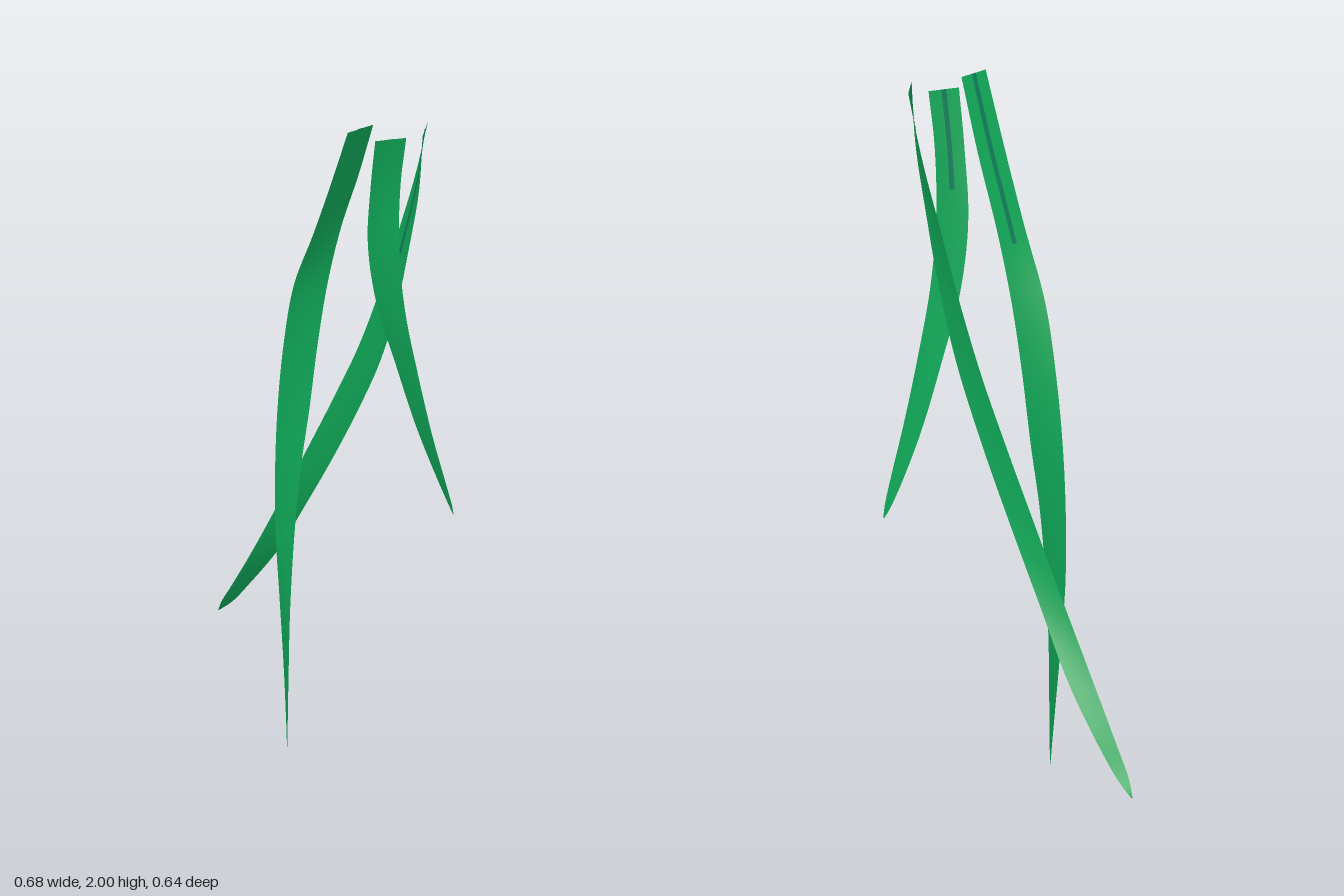
import * as THREE from 'three';

const leafGreen = new THREE.MeshStandardMaterial({ color: 0x0fa556, side: THREE.DoubleSide });
leafGreen.name = 'leaf green';
const ribTeal = new THREE.MeshStandardMaterial({ color: 0x0e7a58, side: THREE.DoubleSide });
ribTeal.name = 'rib teal';

// Cross-sections from the cut end to the tip: [y, leftX, leftZ, rightX, rightZ]
const BLADES = {
  tallBlade: [
    [2.0, 0.063, 0.318, 0.128, 0.268], [1.8, 0.012, 0.252, 0.082, 0.2],
    [1.6, -0.042, 0.184, 0.03, 0.138], [1.4, -0.1, 0.115, -0.01, 0.102],
    [1.2, -0.13, 0.072, -0.038, 0.088], [1.0, -0.148, 0.05, -0.06, 0.085],
    [0.8, -0.156, 0.045, -0.085, 0.09], [0.6, -0.155, 0.05, -0.1, 0.107],
    [0.4, -0.142, 0.073, -0.108, 0.137], [0.2, -0.127, 0.113, -0.11, 0.167],
    [0.06, -0.117, 0.157, -0.111, 0.183], [0.0, -0.113, 0.18, -0.112, 0.183],
  ],
  shortBlade: [
    [1.96, 0.135, 0.288, 0.217, 0.263], [1.8, 0.12, 0.255, 0.2, 0.246],
    [1.6, 0.109, 0.217, 0.196, 0.24], [1.4, 0.13, 0.19, 0.211, 0.228],
    [1.2, 0.18, 0.169, 0.244, 0.215], [1.0, 0.235, 0.157, 0.283, 0.204],
    [0.85, 0.287, 0.153, 0.317, 0.19], [0.77, 0.319, 0.157, 0.334, 0.178],
    [0.735, 0.336, 0.165, 0.338, 0.17],
  ],
  leaningBlade: [
    [1.98, 0.271, 0.203, 0.263, 0.285], [1.8, 0.235, 0.184, 0.252, 0.265],
    [1.6, 0.185, 0.16, 0.222, 0.235], [1.4, 0.133, 0.128, 0.187, 0.2],
    [1.2, 0.073, 0.083, 0.139, 0.148], [1.0, 0.0, 0.022, 0.072, 0.077],
    [0.8, -0.077, -0.042, -0.004, 0.0], [0.6, -0.155, -0.108, -0.085, -0.087],
    [0.4, -0.235, -0.178, -0.168, -0.182], [0.25, -0.297, -0.245, -0.25, -0.257],
    [0.17, -0.33, -0.288, -0.3, -0.294], [0.128, -0.34, -0.316, -0.337, -0.319],
  ],
};

// Ribbon between two edge curves; u0..u1 across, down to t1 along, lifted off the upper side
function ribbon(left, right, u0, u1, t1, rows, lift) {
  const cols = 4;
  const geo = new THREE.PlaneGeometry(1, 1, cols, rows);
  const pos = geo.attributes.position;
  const p = new THREE.Vector3();
  for (let r = 0; r <= rows; r++) {
    const t = (r / rows) * t1;
    const a = left.getPoint(t), b = right.getPoint(t);
    const normal = b.clone().sub(a).cross(left.getTangent(t)).normalize();
    if (normal.y < 0) normal.negate();
    for (let c = 0; c <= cols; c++) {
      p.lerpVectors(a, b, u0 + (u1 - u0) * (c / cols)).addScaledVector(normal, lift);
      pos.setXYZ(r * (cols + 1) + c, p.x, p.y, p.z);
    }
  }
  geo.computeVertexNormals();
  return geo;
}

function addMesh(parent, name, geo, material) {
  const mesh = new THREE.Mesh(geo, material);
  mesh.name = name;
  parent.add(mesh);
}

export function createModel() {
  const model = new THREE.Group();
  model.name = 'grassBlades';
  for (const [name, sections] of Object.entries(BLADES)) {
    const blade = new THREE.Group();
    blade.name = name;
    const left = new THREE.CatmullRomCurve3(sections.map((s) => new THREE.Vector3(s[1], s[0], s[2])));
    const right = new THREE.CatmullRomCurve3(sections.map((s) => new THREE.Vector3(s[3], s[0], s[4])));
    addMesh(blade, name + 'Leaf', ribbon(left, right, 0, 1, 1, 66, 0), leafGreen);
    // Faint darker rib near the cut end
    addMesh(blade, name + 'Rib', ribbon(left, right, 0.42, 0.58, 0.2, 14, 0.001), ribTeal);
    model.add(blade);
  }
  return model;
}
